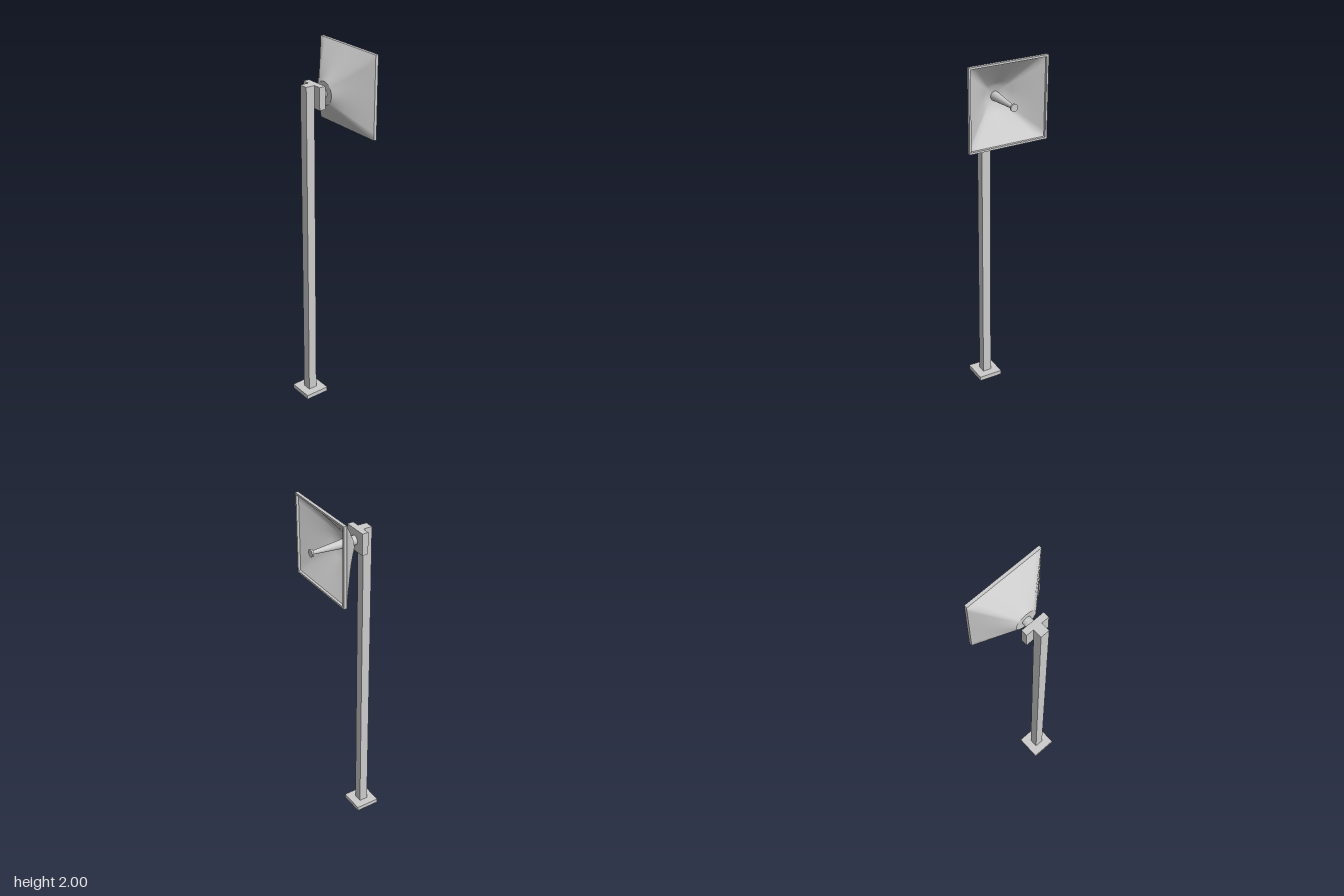
import * as THREE from 'three';

const material = new THREE.MeshStandardMaterial({ color: 0xcccccc });
const AXIS_Y = 1.778;   // height of the dish axis
const HALF = 0.2225;    // half width of the square rim

function add(parent, name, geometry, x, y, z = 0) {
  const mesh = new THREE.Mesh(geometry, material);
  mesh.name = name;
  mesh.position.set(x, y, z);
  parent.add(mesh);
  return mesh;
}

// Box given by its x and y limits, centred on z
function box(parent, name, x0, x1, y0, y1, depth) {
  return add(parent, name, new THREE.BoxGeometry(x1 - x0, y1 - y0, depth), (x0 + x1) / 2, (y0 + y1) / 2);
}

// Round part along +x, from x0 (radius r0) to x1 (radius r1)
function rod(parent, name, x0, x1, r0, r1) {
  const geometry = new THREE.CylinderGeometry(r1, r0, x1 - x0, 32).rotateZ(-Math.PI / 2);
  return add(parent, name, geometry, (x0 + x1) / 2, 0);
}

// Smooth sheet through rings [x, size, squareness]: 0 is a circle, 1 a square
function loft(rings, segments = 64) {
  const positions = [], index = [];
  rings.forEach(([x, size, square], i) => {
    for (let j = 0; j < segments; j++) {
      const t = (j / segments) * Math.PI * 2;
      const c = Math.cos(t), s = Math.sin(t);
      const r = size * (1 - square + square / Math.max(Math.abs(c), Math.abs(s)));
      positions.push(x, r * c, r * s);
      if (i === rings.length - 1) continue;
      const a = i * segments + j, b = i * segments + (j + 1) % segments;
      index.push(a, b, a + segments, b, b + segments, a + segments);
    }
  });
  const geometry = new THREE.BufferGeometry();
  geometry.setAttribute('position', new THREE.Float32BufferAttribute(positions, 3));
  geometry.setIndex(index);
  geometry.computeVertexNormals();
  return geometry;
}

// Wall rings running straight from a circle to a square
function wall(x0, r, x1, half, steps = 6) {
  const rings = [];
  for (let i = 0; i <= steps; i++) {
    const k = i / steps;
    const size = r + (half - r) * k;
    rings.push([x0 + (x1 - x0) * k, size, half * k / size]);
  }
  return rings;
}

function squarePath(path, h) {
  path.moveTo(-h, -h);
  path.lineTo(h, -h);
  path.lineTo(h, h);
  path.lineTo(-h, h);
  path.closePath();
  return path;
}

export function createModel() {
  const model = new THREE.Group();
  model.name = 'dishOnPole';

  // Pole on its foot plate, with the bracket that carries the dish
  box(model, 'footPlate', -0.195, -0.055, 0, 0.025, 0.14);
  box(model, 'pole', -0.15, -0.1, 0.025, 1.84, 0.05);
  box(model, 'bracket', -0.1, -0.065, 1.72, 1.84, 0.137);

  // Everything on the dish axis
  const dish = new THREE.Group();
  dish.name = 'dish';
  dish.position.y = AXIS_Y;
  model.add(dish);

  rod(dish, 'mountArm', -0.065, -0.02, 0.025, 0.025);

  // Hollow shell: flat back, outer wall and concave face
  add(dish, 'dishBackCap', loft([[-0.022, 0, 0], [-0.022, 0.062, 0]]), 0, 0);
  add(dish, 'dishOuterWall', loft(wall(-0.022, 0.062, 0.125, HALF)), 0, 0);
  const face = wall(0.0, 0.055, 0.128, 0.212).reverse();
  add(dish, 'dishFace', loft([...face, [-0.008, 0, 0]]), 0, 0);

  // Square rim frame
  const frame = squarePath(new THREE.Shape(), HALF);
  frame.holes.push(squarePath(new THREE.Path(), 0.212));
  const rim = new THREE.ExtrudeGeometry(frame, { depth: 0.017, bevelEnabled: false }).rotateY(Math.PI / 2);
  add(dish, 'rim', rim, 0.125, 0);

  // Tapered feed horn with its end cap
  rod(dish, 'feedHorn', -0.005, 0.184, 0.025, 0.009);
  rod(dish, 'feedCap', 0.183, 0.193, 0.02, 0.02);

  return model;
}
